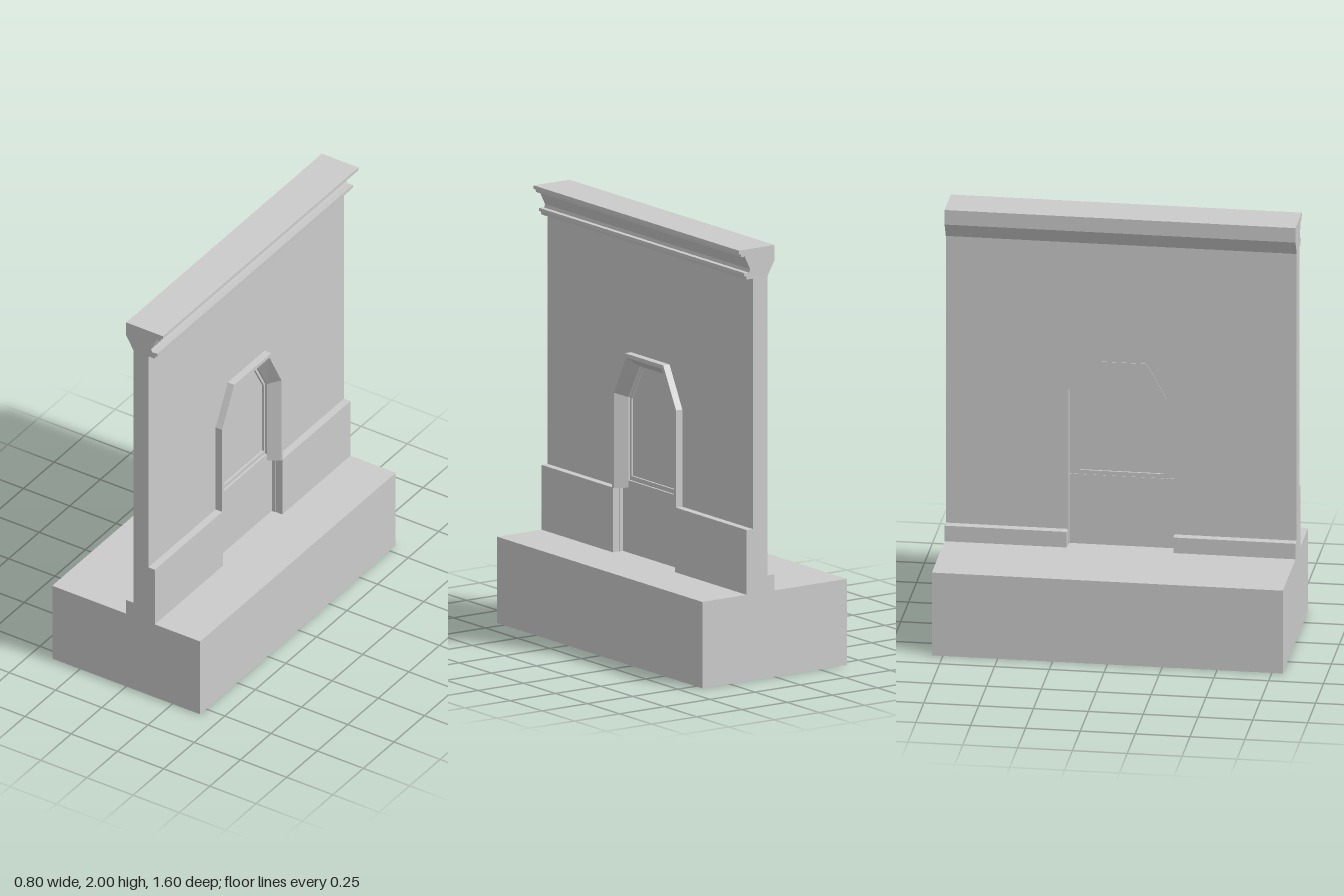
import * as THREE from 'three';

const material = new THREE.MeshStandardMaterial({ color: 0xcccccc, flatShading: true, side: THREE.DoubleSide });
const LENGTH = 1.6;

// Doorway outline as [z, y] points, inset by d from the outer edge of the trim
function arch(d, bottom) {
  const w = 0.25 - d, shoulder = 1.15 - 0.6 * d, top = 1.34 - 1.2 * d, t = 0.15 - 0.8 * d;
  return [[w, bottom], [w, shoulder], [t, top], [-t, top], [-w, shoulder], [-w, bottom]];
}

const toShape = (points) => new THREE.Shape(points.map(([a, b]) => new THREE.Vector2(a, b)));

function mesh(name, geometry) {
  const m = new THREE.Mesh(geometry, material);
  m.name = name;
  return m;
}

// Slab drawn in the z-y plane, filling x0..x1
function slab(name, points, x0, x1, hole) {
  const shape = toShape(points);
  if (hole) shape.holes.push(toShape(hole));
  const g = new THREE.ExtrudeGeometry(shape, { depth: x1 - x0, bevelEnabled: false });
  g.rotateY(-Math.PI / 2).translate(x1, 0, 0);
  return mesh(name, g);
}

// Moulding drawn in the x-y plane, running along z
function moulding(name, points, length, z) {
  const g = new THREE.ExtrudeGeometry(toShape(points), { depth: length, bevelEnabled: false });
  return mesh(name, g.translate(0, 0, z - length / 2));
}

const rect = (x0, x1, y0, y1) => [[x0, y0], [x1, y0], [x1, y1], [x0, y1]];

// Door trim: an [inset, x] cross-section swept around the arch
function trimGeometry(profile, bottom) {
  const positions = [], index = [], n = profile.length;
  for (const [d, x] of profile) for (const [z, y] of arch(d, bottom)) positions.push(x, y, z);
  const at = (i, j) => (i % n) * 6 + j;
  for (let i = 0; i < n; i++) {
    for (let j = 0; j < 5; j++) {
      index.push(at(i, j), at(i + 1, j), at(i + 1, j + 1), at(i, j), at(i + 1, j + 1), at(i, j + 1));
    }
  }
  // Close both feet
  const outline = profile.map(([d, x]) => new THREE.Vector2(d, x));
  for (const [a, b, c] of THREE.ShapeUtils.triangulateShape(outline, [])) {
    index.push(at(a, 0), at(c, 0), at(b, 0), at(a, 5), at(b, 5), at(c, 5));
  }
  const g = new THREE.BufferGeometry();
  g.setAttribute('position', new THREE.Float32BufferAttribute(positions, 3));
  g.setIndex(index);
  const flat = g.toNonIndexed();
  flat.computeVertexNormals();
  return flat;
}

export function createModel() {
  const group = new THREE.Group();

  // Foundation block
  const base = mesh('foundation', new THREE.BoxGeometry(0.8, 0.4, LENGTH));
  base.position.y = 0.2;
  group.add(base);

  // Wall with the doorway cut out from the floor up
  const h = LENGTH / 2;
  group.add(slab('wall', [[h, 0.4], [h, 1.87], [-h, 1.87], [-h, 0.4], ...arch(0.01, 0.4).reverse()], 0.04, 0.12));

  // Wainscot and rear skirting on both sides of the doorway
  for (const side of [1, -1]) {
    const length = h - 0.243, z = side * (h + 0.243) / 2;
    group.add(moulding('wainscot', rect(0.12, 0.155, 0.4, 0.7), length, z));
    group.add(moulding('rearSkirting', rect(0, 0.04, 0.4, 0.475), length, z));
  }

  // Cornice along the top
  group.add(moulding('cornice', [
    [0.04, 1.86], [0.155, 1.86], [0.158, 1.875], [0.168, 1.878], [0.168, 1.892],
    [0.14, 1.89], [0.135, 1.905], [0.165, 1.968], [0.185, 1.968], [0.187, 1.98],
    [0.198, 1.984], [0.198, 2], [0, 2], [0, 1.93],
  ], LENGTH, 0));

  // Splayed trim around the door
  group.add(mesh('doorTrim', trimGeometry(
    [[0, 0.12], [0, 0.155], [0.015, 0.155], [0.05, 0.1], [0.05, 0.065], [0.01, 0.065], [0.01, 0.12]], 0.7)));

  // Door: solid lower panel, thin sash and flat pane
  group.add(slab('lowerPanel', rect(-0.24, 0.24, 0.4, 0.735), 0.06, 0.1));
  group.add(slab('sash', arch(0.048, 0.73), 0.062, 0.09, arch(0.06, 0.755)));
  group.add(slab('pane', arch(0.058, 0.75), 0.07, 0.08));

  return group;
}
